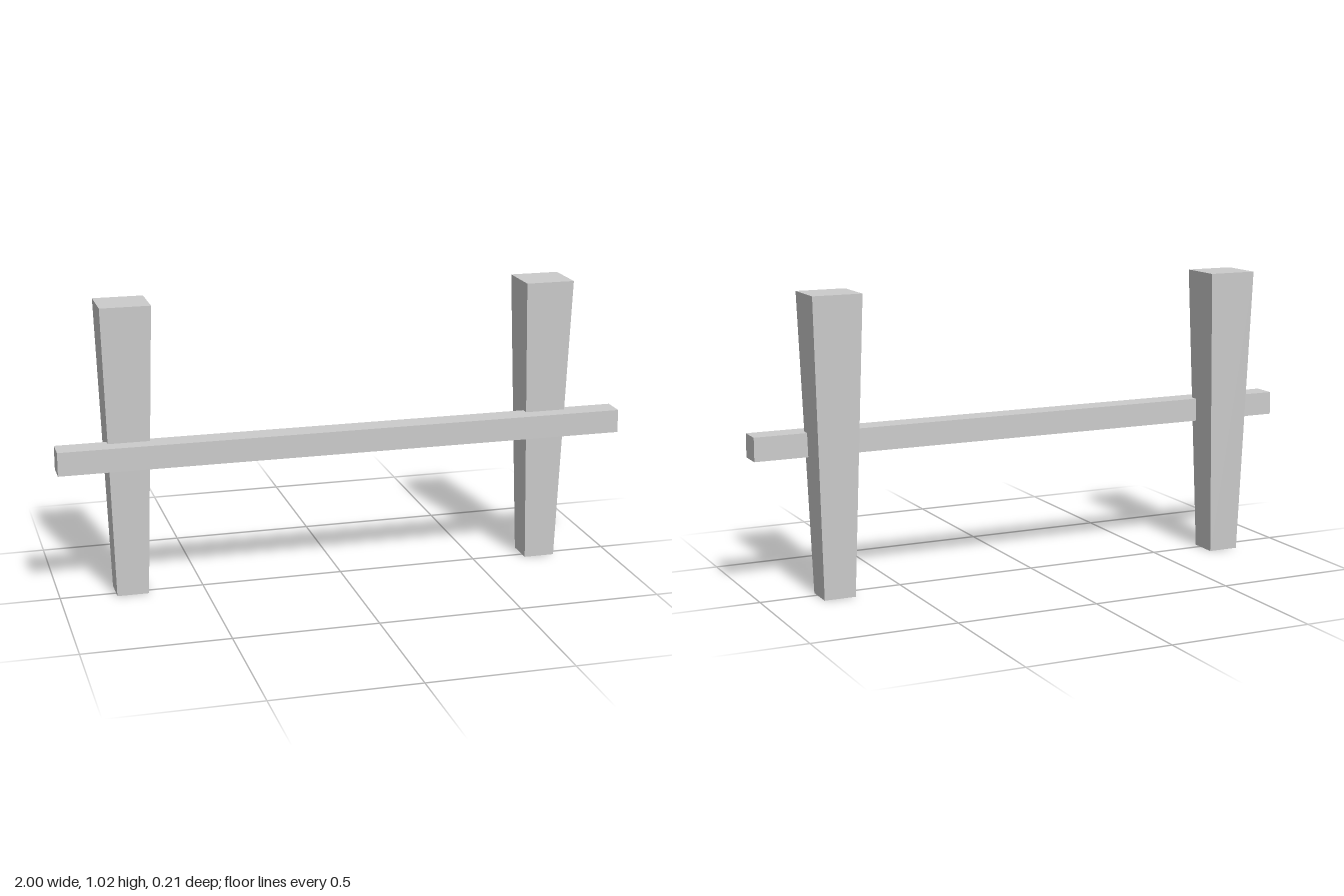
import * as THREE from 'three';

const HEIGHT = 1.025;

// Square post, narrowing evenly towards its foot
function taperedPost(topWidth, topDepth, footScale) {
  const geometry = new THREE.BoxGeometry(topWidth, HEIGHT, topDepth);
  geometry.translate(0, HEIGHT / 2, 0);
  const p = geometry.attributes.position;
  for (let i = 0; i < p.count; i++) {
    const s = THREE.MathUtils.lerp(footScale, 1, p.getY(i) / HEIGHT);
    p.setX(i, p.getX(i) * s);
    p.setZ(i, p.getZ(i) * s);
  }
  geometry.computeVertexNormals();
  return geometry;
}

export function createModel() {
  const model = new THREE.Group();
  model.name = 'railFence';
  const material = new THREE.MeshStandardMaterial({ color: 0xcccccc, flatShading: true });

  // Two upright posts
  const postGeometry = taperedPost(0.173, 0.163, 0.637);
  for (const [name, x] of [['rightPost', -0.751], ['leftPost', 0.744]]) {
    const post = new THREE.Mesh(postGeometry, material);
    post.name = name;
    post.position.set(x, 0, -0.022);
    model.add(post);
  }

  // Horizontal rail let into the front of the posts
  const rail = new THREE.Mesh(new THREE.BoxGeometry(2, 0.082, 0.086), material);
  rail.name = 'rail';
  rail.position.set(0, 0.514, 0.061);
  model.add(rail);

  return model;
}
